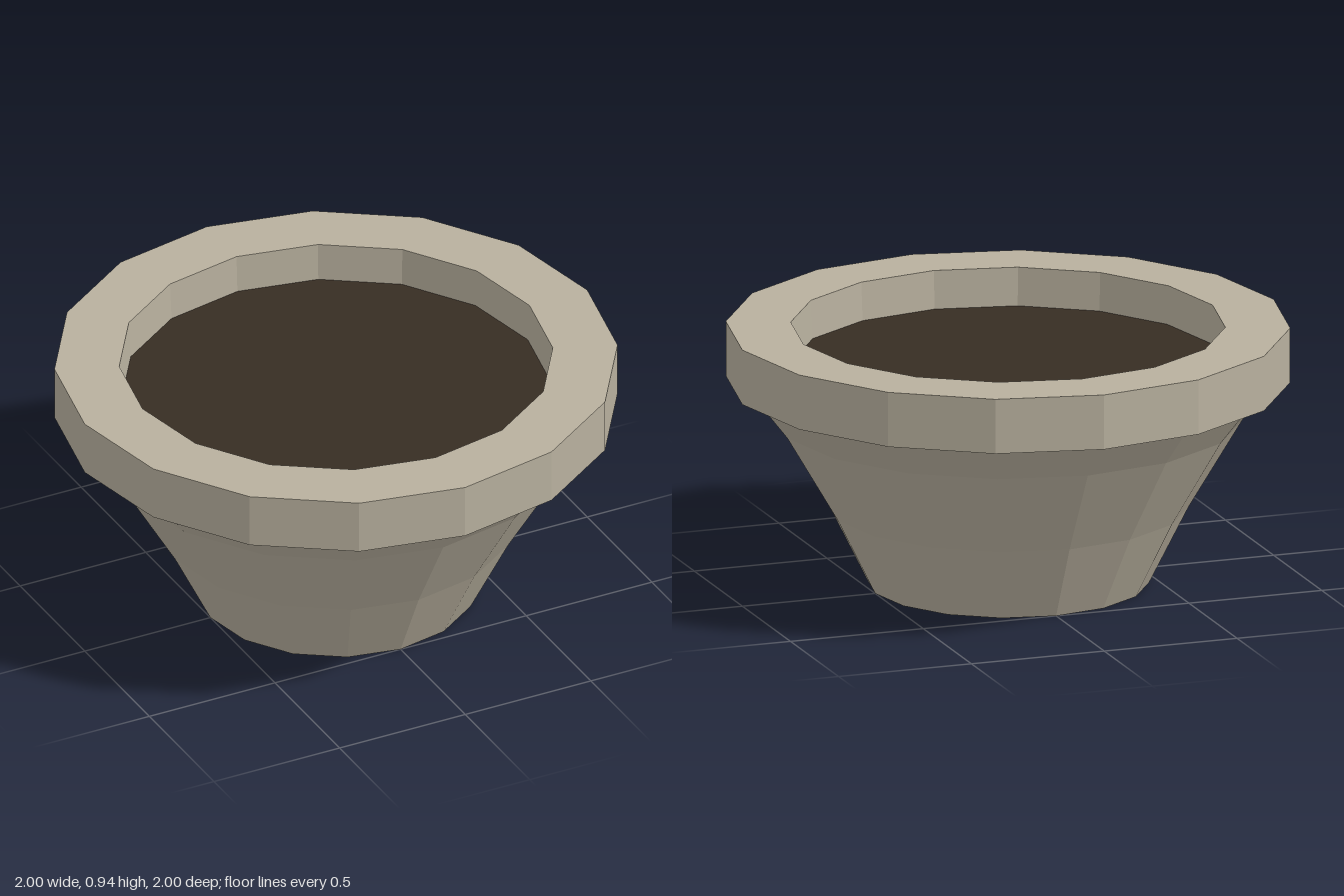
import * as THREE from 'three';

const SIDES = 16;

export function createModel() {
  const model = new THREE.Group();
  model.name = 'planter';

  const stone = new THREE.MeshStandardMaterial({ color: 0xb8b09e, flatShading: true });
  stone.name = 'warm stone';
  const soilBrown = new THREE.MeshStandardMaterial({ color: 0x372d23, flatShading: true });
  soilBrown.name = 'dark soil';

  // Faceted solid of revolution from [radius, height] pairs
  const addTurned = (name, profile) => {
    const points = profile.map(([r, y]) => new THREE.Vector2(r, y));
    const mesh = new THREE.Mesh(new THREE.LatheGeometry(points, SIDES), stone);
    mesh.name = name;
    model.add(mesh);
  };

  // Flared bowl with a closed base
  addTurned('bowl', [[0, 0], [0.5, 0], [0.64, 0.28], [0.83, 0.6], [0.94, 0.74]]);

  // Thick rim: underside, outer wall, top face, inner wall
  addTurned('rim', [[0.76, 0.74], [1, 0.74], [1, 0.94], [0.77, 0.94], [0.76, 0.74]]);

  // Soil surface just below the rim
  const soil = new THREE.Mesh(new THREE.CircleGeometry(0.763, SIDES), soilBrown);
  soil.name = 'soil';
  soil.rotation.x = -Math.PI / 2;
  soil.position.y = 0.8;
  model.add(soil);

  return model;
}
